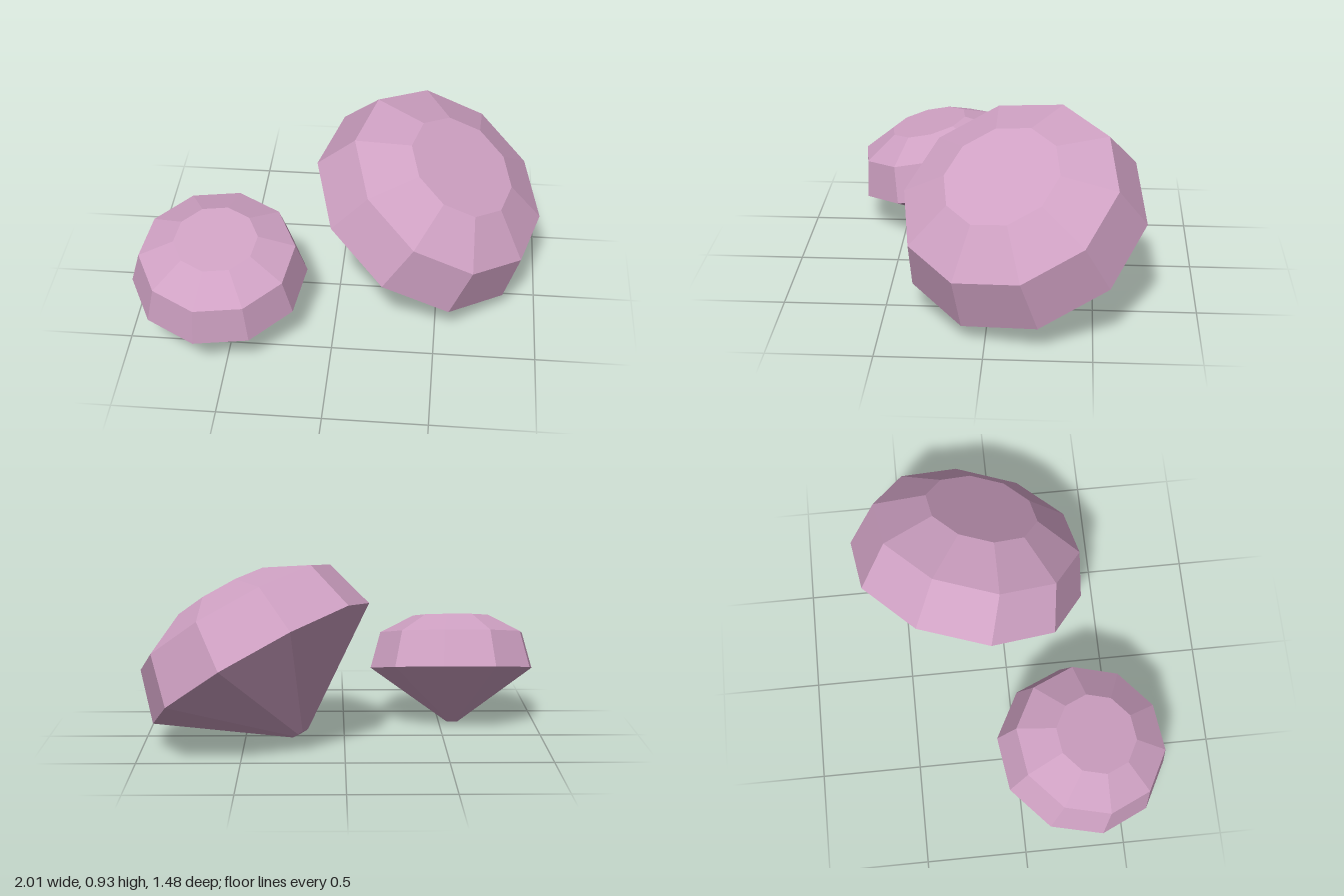
import * as THREE from 'three';

const SIDES = 10;

// Cut gem outline for a girdle radius of 1, from the culet up to the table
const PROFILE = [
  [0, -0.65],
  [0.07, -0.65],
  [1, 0],
  [0.88, 0.43],
  [0.472, 0.634],
  [0, 0.634],
].map(([r, y]) => new THREE.Vector2(r, y));

const pink = new THREE.MeshStandardMaterial({ name: 'pink crystal', color: 0xcfa1c3 });

// Faceted gem: girdle centre, girdle radius, axis direction, direction of one girdle corner
function makeGem(name, center, radius, axis, corner) {
  const geometry = new THREE.LatheGeometry(PROFILE, SIDES).toNonIndexed();
  geometry.computeVertexNormals(); // one normal per facet

  const up = new THREE.Vector3(...axis).normalize();
  const side = new THREE.Vector3().crossVectors(up, new THREE.Vector3(...corner)).normalize();
  const front = new THREE.Vector3().crossVectors(side, up);

  const gem = new THREE.Mesh(geometry, pink);
  gem.name = name;
  gem.position.set(...center);
  gem.quaternion.setFromRotationMatrix(new THREE.Matrix4().makeBasis(side, up, front));
  gem.scale.setScalar(radius);
  return gem;
}

export function createModel() {
  const model = new THREE.Group();
  model.name = 'gems';
  model.add(
    makeGem('smallGem', [-0.57, 0.282, 0.32], 0.434, [0, 0.972, 0.234], [-0.43, -0.015, 0.06]),
    makeGem('largeGem', [0.41, 0.416, -0.166], 0.609, [0.487, 0.833, 0.265], [-0.53, 0.284, 0.081]),
  );
  return model;
}
